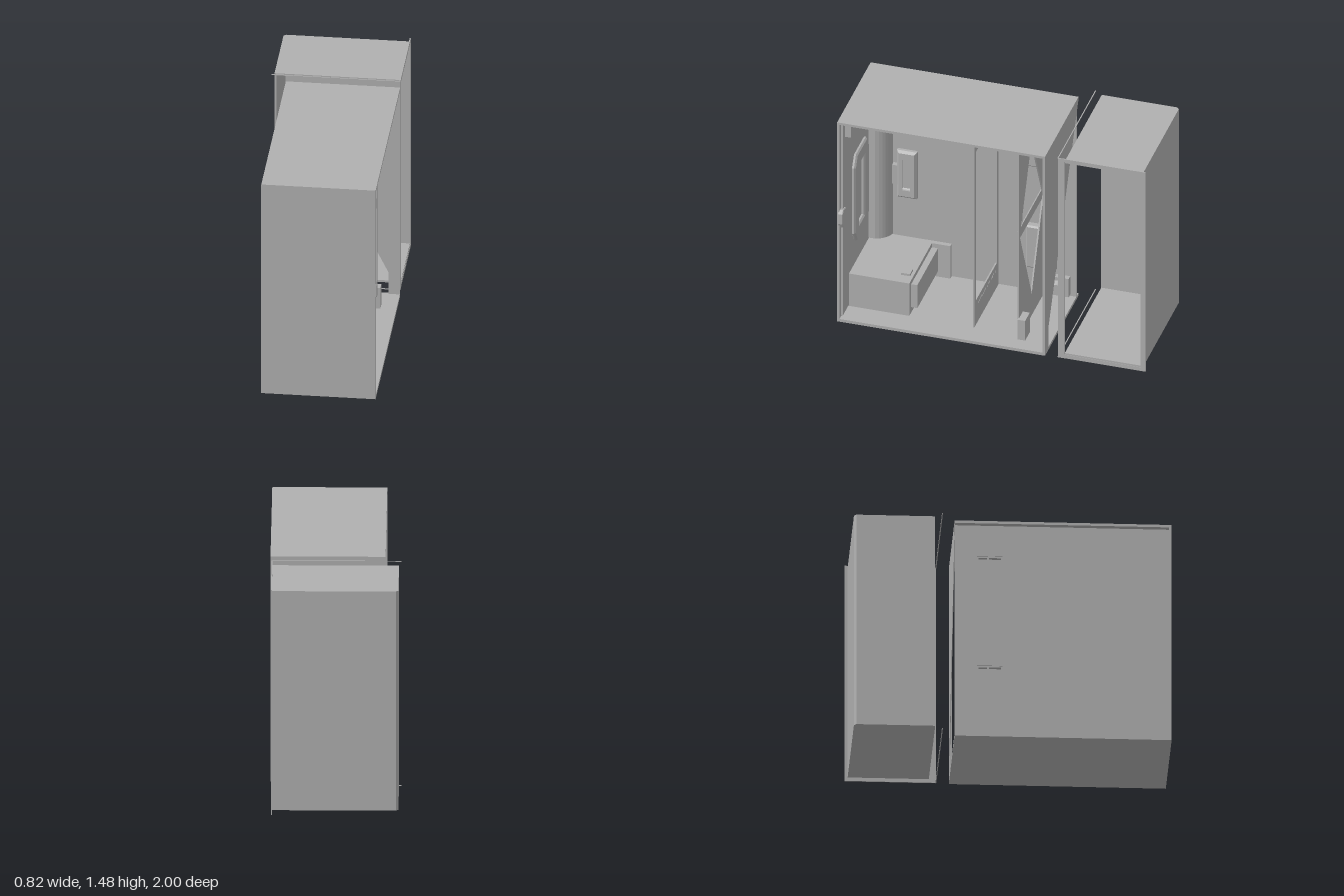
import * as THREE from 'three';

const grey = new THREE.MeshStandardMaterial({ color: 0xb0b0b0, side: THREE.DoubleSide });
grey.name = 'casing grey';

export function createModel() {
  const root = new THREE.Group();
  root.name = 'cabinetShells';

  const add = (name, geometry, parent = root) => {
    const mesh = new THREE.Mesh(geometry, grey);
    mesh.name = name;
    parent.add(mesh);
    return mesh;
  };
  const group = (name) => {
    const g = new THREE.Group();
    g.name = name;
    root.add(g);
    return g;
  };
  // Box given by its limits on each axis
  const box = (name, x0, x1, y0, y1, z0, z1, parent) => add(name,
    new THREE.BoxGeometry(x1 - x0, y1 - y0, z1 - z0)
      .translate((x0 + x1) / 2, (y0 + y1) / 2, (z0 + z1) / 2), parent);
  const rectPoints = (a0, a1, b0, b1) => [[a0, b0], [a1, b0], [a1, b1], [a0, b1]];
  const toVectors = (pts) => pts.map(([a, b]) => new THREE.Vector2(a, b));
  // Flat plate with holes; across z it faces the front, across x it faces the side
  const plate = (name, outline, holes, depth, parent, bevel = 0) => {
    const shape = new THREE.Shape(toVectors(outline));
    holes.forEach((h) => shape.holes.push(new THREE.Path(toVectors(h))));
    return add(name, new THREE.ExtrudeGeometry(shape, {
      depth, bevelEnabled: bevel > 0, bevelSize: bevel, bevelThickness: bevel, bevelSegments: 1,
    }), parent);
  };
  const sidePlate = (name, x, outline, holes, depth, parent, bevel) => {
    const flip = (pts) => pts.map(([z, y]) => [-z, y]);
    const mesh = plate(name, flip(outline), holes.map(flip), depth, parent, bevel);
    mesh.geometry.rotateY(Math.PI / 2);
    mesh.position.x = x;
    return mesh;
  };

  // ---- Main shell: front, top and bottom walls, open at the left side ----
  const main = group('mainShell');
  const X0 = -0.315, X1 = 0.4, H = 1.475;
  box('frontWall', X0, X1, 0, H, 0.985, 1, main);
  box('topWall', X0, X1, H - 0.017, H, -0.35, 0.985, main);
  box('bottomWall', X0, X1, 0, 0.02, -0.35, 0.985, main);
  box('rearPost', X1 - 0.07, X1, 0.02, 1.458, -0.35, -0.335, main);
  plate('rearPanel', [[X0, 1.458], [X1, 1.458], [X1, 0.02]], [], 0.004, main).position.z = -0.35;

  // ---- Inset side panel with two sunken windows ----
  const windows = [[0.21, 0.52], [0.96, 1.27]];
  sidePlate('sidePanel', -0.28, rectPoints(-0.35, 0.985, 0.02, 1.458),
    windows.map(([a, b]) => rectPoints(-0.21, -0.05, a + 0.02, b - 0.02)), 0.01, main);
  windows.forEach(([a, b]) => {
    sidePlate('windowFrame', -0.265, rectPoints(-0.215, -0.045, a + 0.01, b - 0.01),
      [rectPoints(-0.2, -0.06, a + 0.03, b - 0.03)], 0.035, main, 0.01);
    box('windowBack', -0.23, -0.222, a + 0.02, b - 0.02, -0.205, -0.055, main);
  });
  box('panelPad', -0.27, -0.262, 0.46, 1.03, 0, 0.84, main);
  sidePlate('gripRecess', -0.255, rectPoints(0.69, 0.79, 0.585, 0.9),
    [rectPoints(0.715, 0.765, 0.63, 0.855)], 0.02, main, 0.015);
  box('gripCatch', -0.262, -0.23, 0.66, 0.8, 0.8, 0.835, main);

  // Corner mounts with round bosses
  [[0.03, 0.165], [1.32, 1.455]].forEach(([a, b]) => {
    box('cornerMount', -0.27, -0.235, a, b, -0.31, -0.15, main);
    add('mountBoss', new THREE.CylinderGeometry(0.03, 0.045, 0.03, 16).rotateZ(-Math.PI / 2)
      .translate(-0.22, (a + b) / 2, -0.235), main);
  });

  // ---- Inside of the front wall ----
  const door = group('doorLining');
  box('liningSheet', -0.27, 0.37, 0.03, 1.45, 0.972, 0.985, door);
  box('topBeam', -0.2, 0.33, 1.33, 1.452, 0.93, 0.975, door);
  plate('ovalFrame', [[-0.07, 0.45], [0.13, 0.45], [0.17, 0.52], [0.17, 1.0], [0.13, 1.07],
    [-0.07, 1.07], [-0.11, 1.0], [-0.11, 0.52]],
  [rectPoints(-0.03, 0.1, 0.53, 0.99)], 0.01, door, 0.01).position.z = 0.958;
  plate('latch', [[0.34, 0.71], [0.39, 0.7], [0.405, 0.73], [0.405, 0.8], [0.39, 0.82], [0.34, 0.81]],
    [], 0.025, door, 0.004).position.z = 0.965;
  // Rounded corner pillar
  const pillar = new THREE.Shape();
  pillar.moveTo(-0.27, -0.975);
  pillar.lineTo(-0.18, -0.975);
  pillar.lineTo(-0.18, -0.93);
  pillar.quadraticCurveTo(-0.2, -0.86, -0.27, -0.84);
  add('cornerPillar', new THREE.ExtrudeGeometry(pillar, { depth: 1.19, bevelEnabled: false, curveSegments: 6 })
    .rotateX(-Math.PI / 2).translate(0, 0.265, 0), door);

  // ---- Floor box near the front ----
  const floorBox = group('floorBox');
  box('boxBody', -0.27, 0.24, 0.02, 0.26, 0.58, 0.975, floorBox);
  box('boxEnd', -0.27, 0.2, 0.06, 0.23, 0.54, 0.58, floorBox);
  box('boxBackPlate', -0.27, -0.24, 0.02, 0.26, 0.46, 0.58, floorBox);
  box('boxHinge', 0.1, 0.16, 0.26, 0.275, 0.6, 0.66, floorBox);

  // ---- Open cross frame ----
  const slots = [];
  for (let i = 0; i < 14; i++) {
    const x = -0.2 + i * 0.028;
    slots.push(rectPoints(x, x + 0.012, 0.15, 0.165));
  }
  plate('crossFrame', rectPoints(-0.27, 0.25, 0.02, 1.458),
    [rectPoints(-0.23, 0.215, 0.2, 1.3), rectPoints(-0.1, 0.16, 1.36, 1.4), ...slots],
    0.01, main).position.z = 0.155;

  // ---- Braced partition with a diamond opening and a strap ----
  plate('bracedPartition', rectPoints(-0.27, 0.28, 0.02, 1.458),
    [[[0.01, 0.18], [0.265, 0.76], [0.01, 1.32], [-0.245, 0.76]]], 0.01, main).position.z = -0.145;
  box('strap', -0.26, 0.275, 0.73, 0.8, -0.137, -0.13, main);
  box('partitionFoot', 0.2, 0.3, 0.02, 0.165, -0.19, -0.14, main);

  // ---- Rear shell: open to the front and the left side ----
  const rear = group('rearShell');
  const c = 0.015;
  // Chamfered closed side
  const outer = [[-0.4 + c, -0.98], [0.39, -0.98], [0.39, -0.968], [-0.388, -0.968],
    [-0.388, -0.475], [-0.4, -0.475], [-0.4, -0.98 + c]];
  add('rearWalls', new THREE.ExtrudeGeometry(
    new THREE.Shape(toVectors(outer.map(([x, z]) => [x, -z]))), { depth: 1.41, bevelEnabled: false })
    .rotateX(-Math.PI / 2).translate(0, 0.036, 0), rear);
  const lid = [[-0.4 + c, 0.98], [0.39, 0.98], [0.39, 0.475], [-0.4, 0.475], [-0.4, 0.98 - c]];
  [[0.024, 'rearFloor'], [1.446, 'rearTop']].forEach(([y, name]) => {
    add(name, new THREE.ExtrudeGeometry(new THREE.Shape(toVectors(lid)), { depth: 0.014, bevelEnabled: false })
      .rotateX(-Math.PI / 2).translate(0, y, 0), rear);
  });
  // Thin flange round the open side, and edge strips in the gap
  sidePlate('flange', 0.386, rectPoints(-1, -0.43, 0, H),
    [rectPoints(-0.975, -0.475, 0.026, 1.455)], 0.006, rear);
  [0, H - 0.004].forEach((y) => box('edgeStrip', -0.415, 0.39, y, y + 0.004, -0.434, -0.428, rear));

  return root;
}
